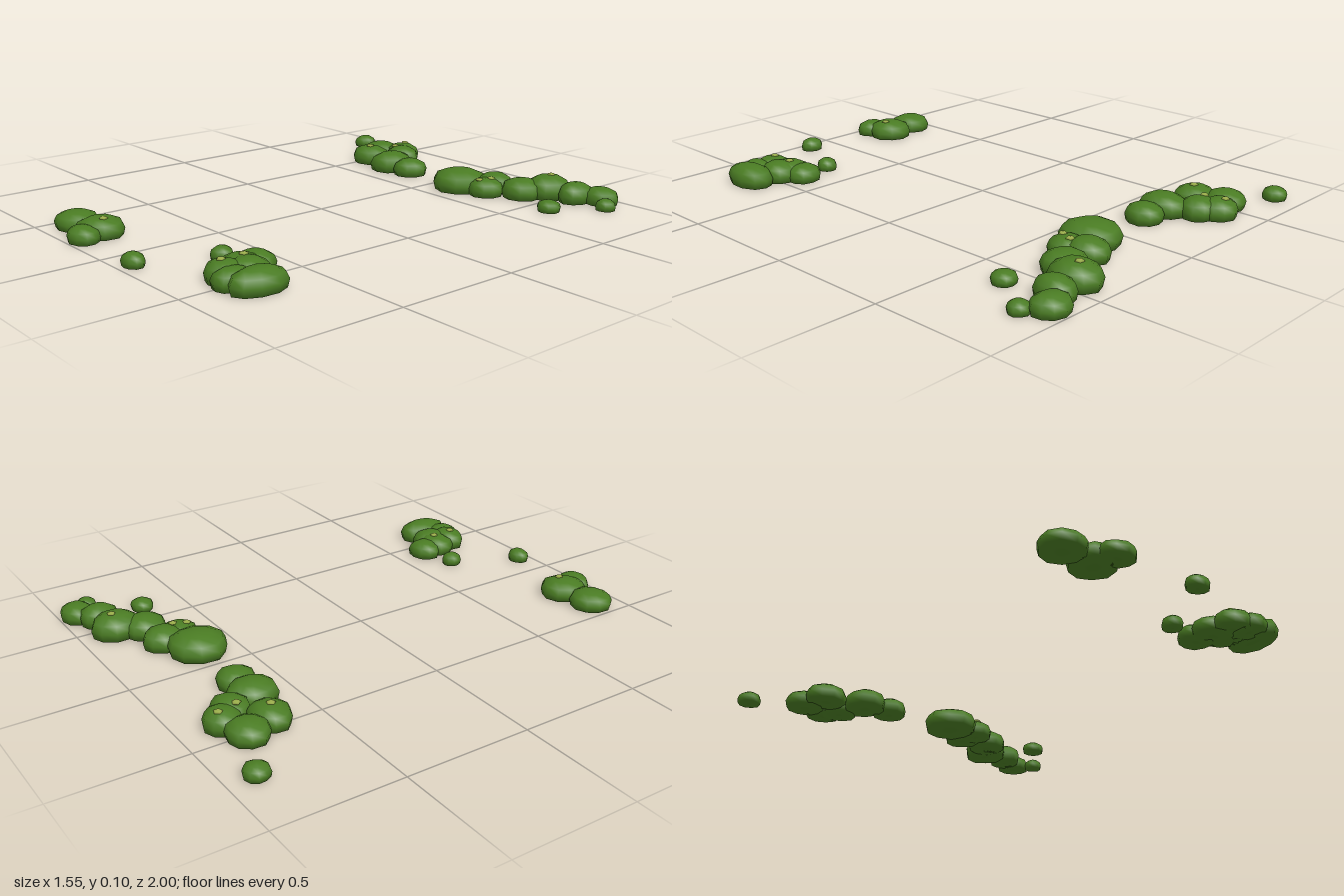
import * as THREE from 'three';
import { mergeVertices } from 'three/addons/utils/BufferGeometryUtils.js';

// Dome profile: [radius, height], both as fractions of the clump size
const PROFILE = [[0, 0], [0.93, 0], [1, 0.38], [0.87, 0.72], [0.5, 0.94], [0, 1]];
const SIDES = 10;

// Each clump: [x, z, radius x, radius z, height]
const PATCHES = {
  backRightPatch: [
    [-0.73, -0.89, 0.05, 0.05, 0.05], [-0.515, -0.8, 0.085, 0.083, 0.07],
    [-0.41, -0.84, 0.08, 0.073, 0.075], [-0.36, -0.785, 0.08, 0.075, 0.078],
    [-0.47, -0.69, 0.09, 0.08, 0.075], [-0.3, -0.665, 0.088, 0.1, 0.08],
    [-0.18, -0.665, 0.075, 0.077, 0.07],
  ],
  backLeftPatch: [
    [0.13, -0.66, 0.118, 0.12, 0.086], [0.25, -0.745, 0.08, 0.085, 0.078],
    [0.27, -0.67, 0.076, 0.075, 0.07], [0.39, -0.76, 0.088, 0.088, 0.078],
    [0.45, -0.855, 0.092, 0.102, 0.09], [0.575, -0.875, 0.067, 0.08, 0.08],
    [0.66, -0.932, 0.08, 0.068, 0.066], [0.735, -0.865, 0.041, 0.041, 0.045],
    [0.6, -0.678, 0.05, 0.047, 0.045],
  ],
  frontRightPatch: [
    [-0.405, 0.87, 0.091, 0.088, 0.066], [-0.26, 0.85, 0.093, 0.097, 0.072],
    [-0.23, 0.94, 0.074, 0.06, 0.06], [0.125, 0.94, 0.05, 0.042, 0.05],
  ],
  frontLeftPatch: [
    [0.26, 0.665, 0.041, 0.043, 0.05], [0.41, 0.628, 0.075, 0.068, 0.065],
    [0.43, 0.7, 0.09, 0.078, 0.072], [0.475, 0.71, 0.078, 0.085, 0.075],
    [0.45, 0.785, 0.08, 0.075, 0.075], [0.515, 0.8, 0.062, 0.08, 0.07],
    [0.588, 0.75, 0.076, 0.117, 0.08],
  ],
};

// Sprout positions: [x, z]
const SPROUTS = [
  [-0.42, -0.86], [-0.4, -0.78], [-0.47, -0.685], [0.28, -0.69], [0.26, -0.64],
  [0.45, -0.87], [-0.235, 0.85], [0.43, 0.695], [0.435, 0.79],
];

function clumpGeometry(rx, rz, height, seed) {
  const points = PROFILE.map(([r, y]) => new THREE.Vector2(r, y));
  let geo = new THREE.LatheGeometry(points, SIDES);
  geo.deleteAttribute('uv');
  geo.deleteAttribute('normal');
  geo = mergeVertices(geo, 1e-4);
  // Gently uneven outline
  const pos = geo.attributes.position;
  for (let i = 0; i < pos.count; i++) {
    const a = Math.atan2(pos.getZ(i), pos.getX(i)) + seed;
    const k = 0.98 + 0.025 * Math.sin(3 * a + seed * 2) + 0.02 * Math.cos(5 * a);
    pos.setXYZ(i, pos.getX(i) * k * rx, pos.getY(i) * height, pos.getZ(i) * k * rz);
  }
  geo.computeVertexNormals();
  return geo;
}

// Height of the highest clump surface at a spot
function surfaceHeight(x, z) {
  let top = 0;
  for (const [cx, cz, rx, rz, h] of Object.values(PATCHES).flat()) {
    const d = Math.hypot((x - cx) / rx, (z - cz) / rz);
    for (let i = 2; i < PROFILE.length - 1; i++) {
      const [r0, y0] = PROFILE[i], [r1, y1] = PROFILE[i + 1];
      if (d <= r0 && d >= r1) top = Math.max(top, h * (y0 + (y1 - y0) * (r0 - d) / (r0 - r1)));
    }
  }
  return top;
}

export function createModel() {
  const moss = new THREE.MeshStandardMaterial({ color: 0x4a7c23 });
  moss.name = 'moss green';
  const pale = new THREE.MeshStandardMaterial({ color: 0x9aac4a });
  pale.name = 'pale sprout green';

  const model = new THREE.Group();
  model.name = 'mossPatches';

  // Clumps of moss, grouped by patch
  let seed = 1;
  for (const [name, clumps] of Object.entries(PATCHES)) {
    const patch = new THREE.Group();
    patch.name = name;
    for (const [x, z, rx, rz, h] of clumps) {
      const clump = new THREE.Mesh(clumpGeometry(rx, rz, h, seed++ * 1.7), moss);
      clump.name = 'mossClump';
      clump.position.set(x, 0, z);
      patch.add(clump);
    }
    model.add(patch);
  }

  // Tiny pale sprouts on the tops
  const sproutGeo = new THREE.SphereGeometry(0.018, 5, 4);
  sproutGeo.scale(1, 0.4, 1);
  SPROUTS.forEach(([x, z], i) => {
    const sprout = new THREE.Mesh(sproutGeo, pale);
    sprout.name = 'sprout';
    sprout.position.set(x, surfaceHeight(x, z), z);
    sprout.rotation.y = i * 1.3;
    model.add(sprout);
  });
  return model;
}
